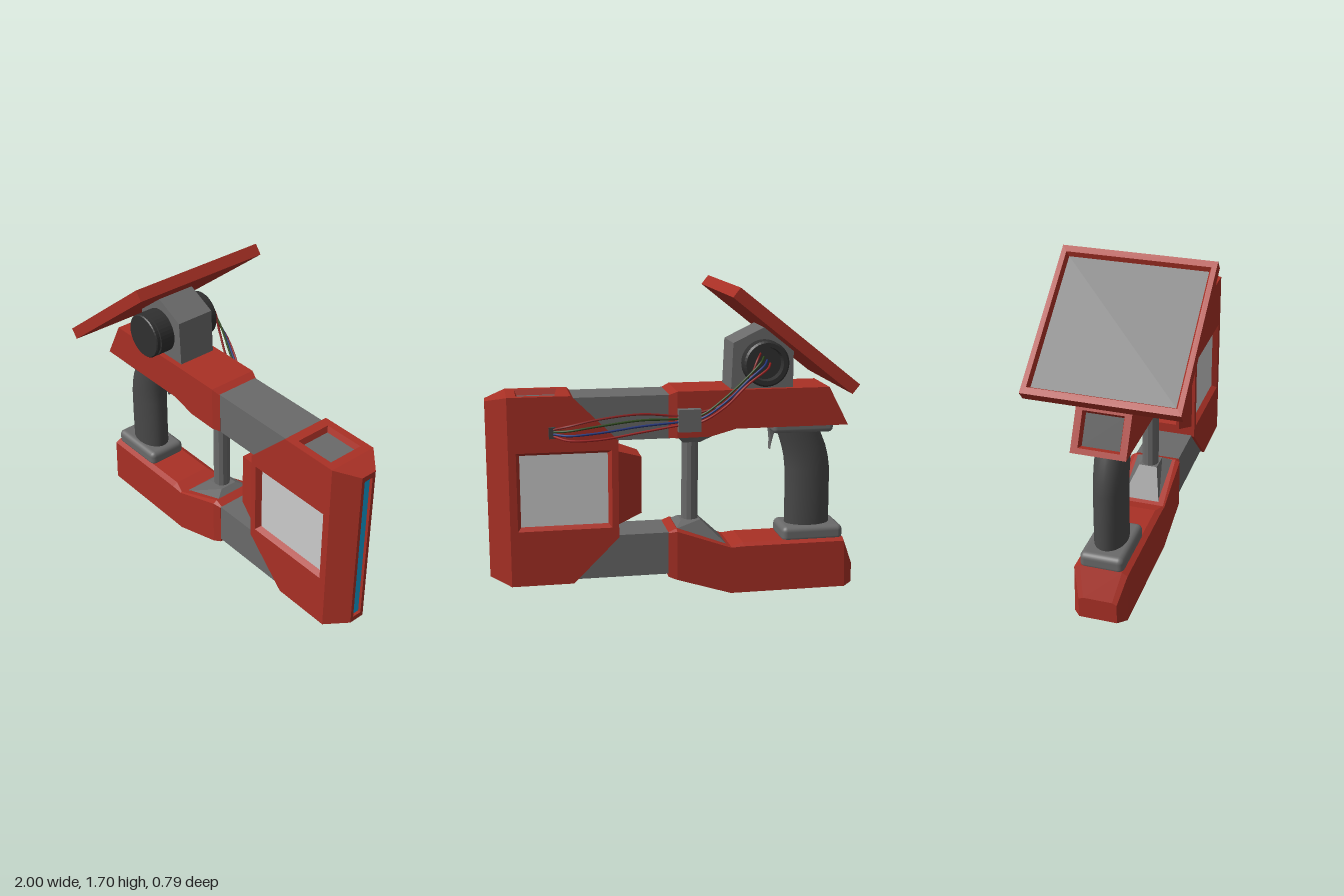
import * as THREE from 'three';
import { RoundedBoxGeometry } from 'three/addons/geometries/RoundedBoxGeometry.js';

const mat = (color, flat = true) => new THREE.MeshStandardMaterial({ color, flatShading: flat });
const RED = mat(0xa93025), GREY = mat(0x6a6a6a), LIGHT = mat(0xcccccc), DARK = mat(0x404040);
const CYAN = mat(0x14a5dc), GRIP = mat(0x484848, false), BLACK = mat(0x303030, false);

function add(parent, name, geometry, material, pos = [0, 0, 0]) {
  const m = new THREE.Mesh(geometry, material);
  m.name = name;
  m.position.set(...pos);
  parent.add(m);
  return m;
}

// Skin between matching cross-sections; optional end caps, open or closed loops
function loft(rings, { start = false, end = false, closed = true } = {}) {
  const n = rings[0].length, idx = [];
  for (let r = 0; r < rings.length - 1; r++) {
    for (let i = 0; i < (closed ? n : n - 1); i++) {
      const j = (i + 1) % n, a = r * n + i, b = r * n + j;
      idx.push(a, b, b + n, a, b + n, a + n);
    }
  }
  const last = (rings.length - 1) * n;
  for (let i = 1; i < n - 1; i++) {
    if (start) idx.push(0, i + 1, i);
    if (end) idx.push(last, last + i, last + i + 1);
  }
  const g = new THREE.BufferGeometry();
  g.setAttribute('position', new THREE.Float32BufferAttribute(rings.flat(2), 3));
  g.setIndex(idx);
  g.computeVertexNormals();
  return g;
}

// Rectangular section across x, with an optional slanted end and a small top bevel
function section(x, yb, yt, w, xTop = x, bevel = 0) {
  const r = [[x, yb, w], [x, yb, -w]];
  if (!bevel) return [[xTop, yt, w], ...r, [xTop, yt, -w]];
  const ys = yt - bevel, c = w - bevel * 2;
  return [[xTop, yt, c], [xTop, ys, w], ...r, [xTop, ys, -w], [xTop, yt, -c]];
}

const rect = (w, h, z = 0) => [[-w, -h, z], [w, -h, z], [w, h, z], [-w, h, z]];

// Flat face with a rectangular recess: rim, sloped reveal and floor
function plate(parent, name, outline, hole, inset, depth, floorMat, pos, normal) {
  const g = new THREE.Group();
  g.name = name;
  const [cx, cy, w, h] = hole;
  const at = (ring) => ring.map(([x, y, z]) => [x + cx, y + cy, z]);
  const shape = new THREE.Shape(outline.map(([x, y]) => new THREE.Vector2(x, y)));
  const outer = at(rect(w, h)), inner = at(rect(w - inset, h - inset, -depth));
  shape.holes.push(new THREE.Path(outer.map(([x, y]) => new THREE.Vector2(x, y))));
  add(g, name + ' rim', new THREE.ShapeGeometry(shape), RED);
  add(g, name + ' reveal', loft([outer, inner]), RED);
  add(g, name + ' floor', new THREE.PlaneGeometry(2 * (w - inset), 2 * (h - inset)), floorMat, [cx, cy, -depth]);
  g.position.set(...pos);
  g.lookAt(pos[0] + normal[0], pos[1] + normal[1], pos[2] + normal[2]);
  parent.add(g);
}

function buildHead(root) {
  const head = new THREE.Group();
  head.name = 'head';
  root.add(head);
  const back = [[0.56, 1.13], [0.315, 0.885], [0.315, 0.355], [0.56, 0.11]];
  const profile = [...back, [0.89, 0.11], [0.89, 1.13]];
  // Side faces with light windows, top and bottom faces with vents
  for (const s of [1, -1]) {
    plate(head, 'side window', profile.map(([x, y]) => [x * s, y]), [0.6 * s, 0.623, 0.25, 0.212],
      0.018, 0.03, LIGHT, [0, 0, 0.14 * s], [0, 0, s]);
    plate(head, 'vent', rect(0.165, 0.14), [0.003, 0, 0.113, 0.1], 0.012, 0.03, GREY,
      [0.725, 0.62 + 0.51 * s, 0], [0, s, 0]);
  }
  add(head, 'head back', loft([-0.14, 0.14].map((z) => back.map(([x, y]) => [x, y, z])), { closed: false }), RED);
  // Tapered nose with a glowing slit
  add(head, 'nose', loft([section(0.89, 0.11, 1.13, 0.14), section(1, 0.145, 1.1, 0.045)]), RED);
  plate(head, 'light strip', rect(0.045, 0.4775), [0, 0, 0.027, 0.447], 0.002, 0.015, CYAN, [1, 0.6225, 0], [1, 0, 0]);
  // Rear port
  add(head, 'rear port', loft([section(0.185, 0.47, 0.78, 0.085), section(0.32, 0.42, 0.825, 0.125)]), RED);
  plate(head, 'port opening', rect(0.085, 0.155), [0, 0, 0.065, 0.13], 0.01, 0.06, GREY, [0.185, 0.625, 0], [-1, 0, 0]);
}

function buildArms(root) {
  add(root, 'upper arm', loft([
    section(-0.94, 0.925, 1.135, 0.14, -0.83), section(-0.32, 0.925, 1.135, 0.14),
    section(-0.18, 0.887, 1.135, 0.14), section(0, 0.885, 1.135, 0.14), section(0.045, 0.885, 1.115, 0.125),
  ], { end: true }), RED);
  plate(root, 'arm end', rect(0.14, 0.1185), [0, 0, 0.105, 0.09], 0.01, 0.03, DARK, [-0.885, 1.03, 0], [-0.886, 0.464, 0]);
  add(root, 'lower arm', loft([
    section(-1, 0.01, 0.13, 0.1, -1, 0.012), section(-0.95, 0, 0.28, 0.14, -0.94, 0.015),
    section(-0.37, 0, 0.28, 0.14, -0.37, 0.015), section(-0.3, 0, 0.265, 0.14, -0.3, 0.004),
    section(0, 0.095, 0.38, 0.14, 0, 0.012), section(0.045, 0.11, 0.362, 0.125, 0.045, 0.004),
  ], { start: true, end: true }), RED);
  for (const y of [0.245, 1.0]) {
    add(root, 'connector', new THREE.BoxGeometry(0.52, 0.234, 0.246), GREY, [0.295, y, 0]);
  }
  // Strut with flared feet
  add(root, 'strut', new THREE.CylinderGeometry(0.046, 0.046, 0.5, 12), GREY, [-0.093, 0.62, 0]);
  const foot = (x0, y0, x1, y1, w) => [[x0, y0, w], [x1, y1, w], [x1, y1, -w], [x0, y0, -w]];
  const caps = { start: true, end: true };
  add(root, 'strut foot', loft([foot(-0.29, 0.262, 0, 0.375, 0.105), foot(-0.143, 0.405, -0.035, 0.405, 0.05)], caps), GREY);
  add(root, 'strut head', loft([foot(-0.143, 0.84, -0.045, 0.84, 0.05), foot(-0.28, 0.92, 0, 0.89, 0.105)], caps), GREY);
}

function buildGrip(root) {
  // Curved elliptical grip: [y, centre x, half length]
  const stations = [[0.33, -0.76, 0.126], [0.5, -0.76, 0.126], [0.66, -0.757, 0.126], [0.73, -0.748, 0.125],
    [0.79, -0.733, 0.124], [0.84, -0.715, 0.122], [0.9, -0.692, 0.12]];
  const rings = stations.map(([y, x, r]) => Array.from({ length: 28 }, (_, i) => {
    const a = (i / 28) * Math.PI * 2;
    return [x + r * Math.cos(a), y, -0.085 * Math.sin(a)];
  })).map((ring) => ring.reverse().map(([x, y, z]) => [x, y, -z]));
  add(root, 'grip', loft(rings), GRIP);
  add(root, 'grip base', new RoundedBoxGeometry(0.345, 0.09, 0.23, 3, 0.03), mat(0x6a6a6a, false), [-0.768, 0.305, 0]);
  add(root, 'grip collar', new RoundedBoxGeometry(0.34, 0.07, 0.23, 3, 0.025), mat(0x6a6a6a, false), [-0.7, 0.915, 0]);
  // Thin curved trigger
  const t = new THREE.Shape();
  t.moveTo(-0.575, 0.9);
  t.quadraticCurveTo(-0.55, 0.86, -0.538, 0.775);
  t.quadraticCurveTo(-0.545, 0.84, -0.53, 0.9);
  add(root, 'trigger', new THREE.ExtrudeGeometry(t, { depth: 0.05, bevelEnabled: false }), GREY, [0, 0, -0.025]);
}

function buildSensor(root) {
  const s = new THREE.Shape([[-0.635, 1.13], [-0.295, 1.13], [-0.305, 1.38], [-0.47, 1.46], [-0.635, 1.33]]
    .map(([x, y]) => new THREE.Vector2(x, y)));
  add(root, 'mount block', new THREE.ExtrudeGeometry(s, { depth: 0.22, bevelEnabled: false }), GREY, [0, 0, -0.11]);
  // Barrel with a grooved front rim and a hollow rear
  const pts = [[0, -0.15], [0.085, -0.15], [0.09, -0.19], [0.112, -0.19], [0.122, -0.18], [0.122, 0.195], [0.114, 0.197],
    [0.114, 0.205], [0.122, 0.207], [0.122, 0.22], [0.117, 0.226], [0, 0.226]];
  // Doubled points keep the barrel edges crisp
  const profile = pts.flatMap(([x, y]) => [new THREE.Vector2(x, y), new THREE.Vector2(x, y)]).slice(1, -1);
  const barrel = add(root, 'barrel', new THREE.LatheGeometry(profile, 40), mat(0x303030, true), [-0.47, 1.275, 0]);
  barrel.rotation.x = Math.PI / 2;

  // Tilted panel with a sunken face
  const panel = new THREE.Group();
  panel.name = 'tilted panel';
  const ring = (y) => [[-0.407, y, 0.395], [0.407, y, 0.395], [0.407, y, -0.395], [-0.407, y, -0.395]];
  add(panel, 'panel tray', loft([ring(-0.031), ring(0.031)], { start: true }), RED);
  plate(panel, 'panel face', rect(0.407, 0.395), [0, 0, 0.372, 0.369], 0.012, 0.025, GREY, [0, 0.031, 0], [0, 1, 0]);
  panel.position.set(-0.572, 1.419, 0);
  panel.rotation.z = 0.672;
  root.add(panel);
}

function buildCables(root) {
  add(root, 'cable clip', new THREE.BoxGeometry(0.12, 0.12, 0.05), GREY, [-0.06, 0.985, -0.16]);
  add(root, 'cable socket', new THREE.BoxGeometry(0.035, 0.06, 0.02), DARK, [0.66, 0.94, -0.145]);
  [0xa02020, 0x23367f, 0x2f4a1c, 0x8a2020].forEach((color, i) => {
    const o = (i - 1.5) * 0.018, sag = i === 3 ? 0.05 : 0;
    const path = new THREE.CatmullRomCurve3([
      [-0.47 + o, 1.3 + o, -0.15], [-0.44 + o, 1.28 + o, -0.21], [-0.36, 1.21 + o - sag, -0.225 + o * 0.5],
      [-0.24, 1.09 + o - sag, -0.2 + o], [-0.12, 1.0 + o, -0.165], [0, 0.985 + o, -0.16],
      [0.2, 0.98 + o * 1.8, -0.175], [0.42, 0.96 + o * 2, -0.2], [0.58, 0.945 + o * 1.4, -0.2], [0.66, 0.94 + o * 0.6, -0.145],
    ].map((p) => new THREE.Vector3(...p)));
    add(root, 'cable', new THREE.TubeGeometry(path, 60, 0.006, 6), mat(color, false));
  });
}

export function createModel() {
  const root = new THREE.Group();
  root.name = 'handheld scanner';
  buildHead(root);
  buildArms(root);
  buildGrip(root);
  buildSensor(root);
  buildCables(root);
  return root;
}
